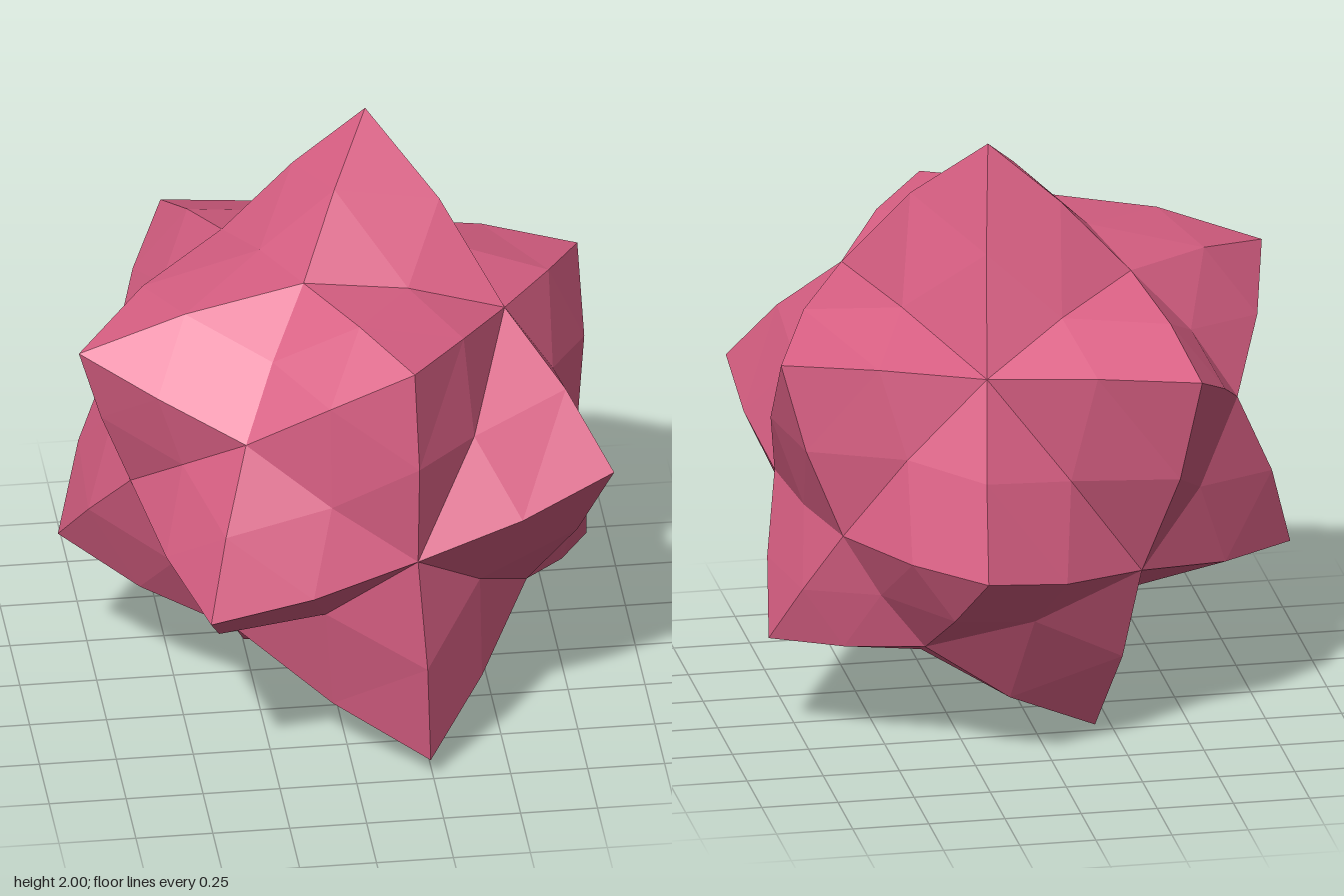
import * as THREE from 'three';

const V = (x, y, z) => new THREE.Vector3(x, y, z);
const CENTRE = V(0.02, 0.95, 0.03);

// The star has five sectors round a tilted axis; each list runs once round it.
// Hollows: one belt and one ring on each side of it.
const beltHollows = [V(0.54, 1.47, 0.28), V(0.19, 0.86, 0.82), V(-0.34, 0.35, 0.31), V(-0.295, 0.635, -0.505), V(0.22, 1.34, -0.54)];
const rightHollows = [V(-0.12, 1.64, 0.33), V(-0.35, 1.25, 0.67), V(-0.68, 0.93, 0.31), V(-0.66, 1.11, -0.24), V(-0.32, 1.55, -0.19)];
const leftHollows = [V(0.8, 0.85, 0.07), V(0.6, 0.5, 0.37), V(0.3, 0.22, 0.13), V(0.4, 0.39, -0.42), V(0.66, 0.77, -0.37)];

// Spike tips: a ring of five on each side, plus one at each end of the axis.
const rightTips = [V(0.18, 1.56, 0.815), V(-0.49, 0.71, 0.88), V(-0.87, 0.53, -0.05), V(-0.45, 1.35, -0.73), V(0.14, 2, -0.14)];
const leftTips = [V(0.85, 1.04, 0.64), V(0.24, 0.07, 0.75), V(-0.2, 0, -0.2), V(0.28, 0.76, -0.88), V(0.85, 1.345, -0.3)];
const rightEndTip = V(-0.85, 1.43, 0.33);
const leftEndTip = V(0.86, 0.35, -0.14);

// Edge midpoint, lifted halfway towards a sphere so the faces bulge slightly.
function bulgedMid(a, b) {
  const p = a.clone().sub(CENTRE), q = b.clone().sub(CENTRE);
  const mid = p.clone().add(q).multiplyScalar(0.5);
  const round = (p.length() + q.length()) / 2;
  return mid.setLength((mid.length() + round) / 2).add(CENTRE);
}

// Adds one flat triangle, wound to face away from the centre.
function addTriangle(out, a, b, c) {
  const normal = b.clone().sub(a).cross(c.clone().sub(a));
  const outward = a.clone().add(b).add(c).divideScalar(3).sub(CENTRE);
  const corners = normal.dot(outward) > 0 ? [a, b, c] : [a, c, b];
  for (const p of corners) out.push(p.x, p.y, p.z);
}

// A pyramid from a ring of hollows up to a tip, each side split into four facets.
function spike(name, tip, ring, material) {
  const out = [];
  ring.forEach((a, i) => {
    const b = ring[(i + 1) % ring.length];
    const ta = bulgedMid(tip, a), tb = bulgedMid(tip, b), ab = bulgedMid(a, b);
    addTriangle(out, tip, ta, tb);
    addTriangle(out, ta, a, ab);
    addTriangle(out, tb, ab, b);
    addTriangle(out, ta, ab, tb);
  });
  const geometry = new THREE.BufferGeometry();
  geometry.setAttribute('position', new THREE.Float32BufferAttribute(out, 3));
  geometry.computeVertexNormals(); // unshared corners give flat facets
  const mesh = new THREE.Mesh(geometry, material);
  mesh.name = name;
  return mesh;
}

export function createModel() {
  const group = new THREE.Group();
  group.name = 'spikyRock';
  const pink = new THREE.MeshStandardMaterial({ color: 0xd85f83 });
  pink.name = 'rose pink';

  // Four-sided spikes on both sides of the belt
  for (let i = 0; i < 5; i++) {
    const j = (i + 1) % 5;
    group.add(spike(`rightSpike${i + 1}`, rightTips[i],
      [beltHollows[i], beltHollows[j], rightHollows[j], rightHollows[i]], pink));
    group.add(spike(`leftSpike${i + 1}`, leftTips[i],
      [beltHollows[i], beltHollows[j], leftHollows[j], leftHollows[i]], pink));
  }

  // Five-sided spikes at the ends
  group.add(spike('rightEndSpike', rightEndTip, rightHollows, pink));
  group.add(spike('leftEndSpike', leftEndTip, leftHollows, pink));
  return group;
}
